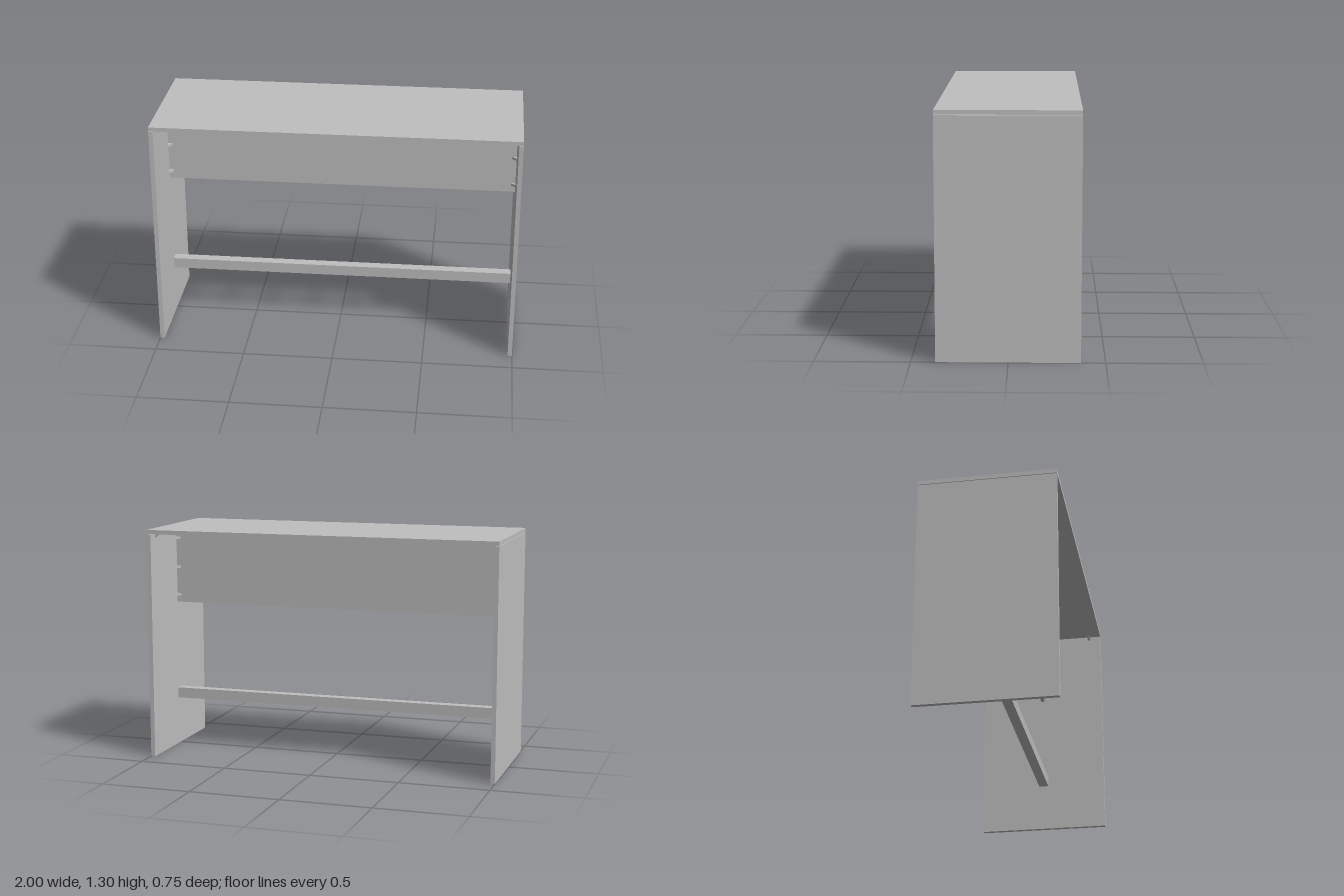
import * as THREE from 'three';

const T = 0.024;      // board thickness
const D = 0.747;      // overall depth
const TOP = 1.3;      // overall height
const UNDER = 1.277;  // underside of the worktop
const INNER = 1 - T;  // inner face of the side panels

export function createModel() {
  const model = new THREE.Group();
  model.name = 'highTable';
  const grey = new THREE.MeshStandardMaterial({ color: 0xbfbfbf });
  grey.name = 'grey board';

  function add(name, geometry, x, y, z) {
    const mesh = new THREE.Mesh(geometry, grey);
    mesh.name = name;
    mesh.position.set(x, y, z);
    model.add(mesh);
    return mesh;
  }
  const board = (name, w, h, d, x, y, z) =>
    add(name, new THREE.BoxGeometry(w, h, d), x, y, z);

  // Boards
  board('worktop', 2, TOP - UNDER, D, 0, (TOP + UNDER) / 2, 0);
  board('modestyPanel', 2 * INNER, UNDER - 0.845, T, 0, (UNDER + 0.845) / 2, 0);
  board('footRail', 2 * INNER, 0.06, 0.056, 0, 0.305, 0);
  for (const s of [1, -1]) {
    board(s > 0 ? 'leftSide' : 'rightSide', T, UNDER - 0.003, D, s * (1 - T / 2), (UNDER - 0.003) / 2, 0);
  }

  // Triangular corner brackets, right angle at the origin, centred on their thickness
  function bracketGeometry(sx, sy) {
    const leg = 0.025, thick = 0.014;
    const shape = new THREE.Shape();
    shape.moveTo(0, 0);
    shape.lineTo(sx * leg, 0);
    shape.lineTo(0, sy * leg);
    shape.closePath();
    return new THREE.ExtrudeGeometry(shape, { depth: thick, bevelEnabled: false })
      .translate(0, 0, -thick / 2);
  }
  for (const sx of [1, -1]) {
    for (const sz of [1, -1]) {
      // Between side panel and worktop
      add('topBracket', bracketGeometry(-sx, -1), sx * INNER, UNDER, sz * 0.3);
      // Between side panel and modesty panel
      for (const y of [0.89, 1.05, 1.22]) {
        const g = bracketGeometry(-sx, -sz).rotateX(-Math.PI / 2);
        add('panelBracket', g, sx * INNER, y, sz * T / 2);
      }
    }
  }
  return model;
}
